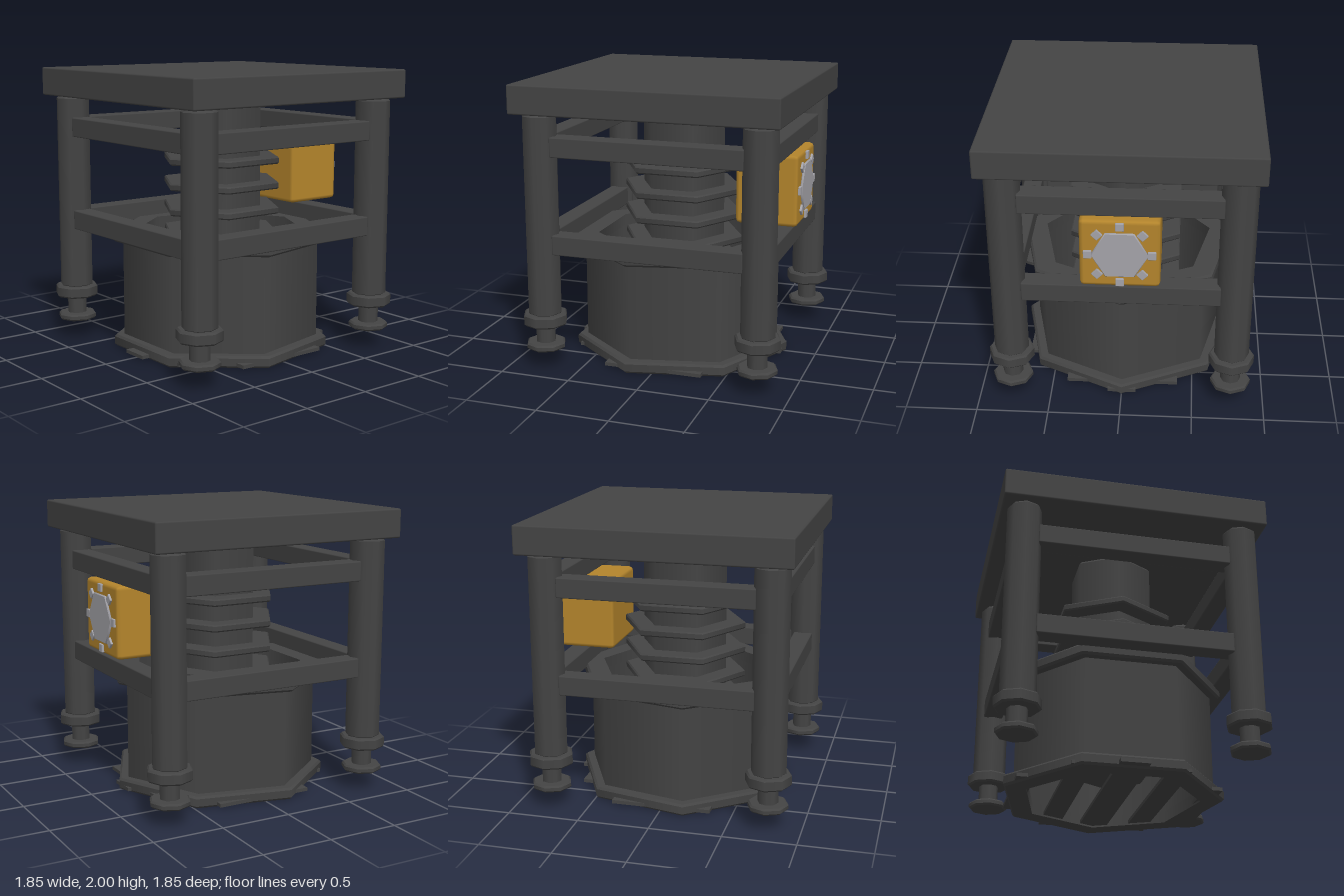
import * as THREE from 'three';
import { mergeGeometries } from 'three/addons/utils/BufferGeometryUtils.js';
import { RoundedBoxGeometry } from 'three/addons/geometries/RoundedBoxGeometry.js';

const material = (name, color) => {
  const m = new THREE.MeshStandardMaterial({ color });
  m.name = name;
  return m;
};

// Low-sided turned part: each profile edge is its own band, so profile corners stay sharp.
// Profile points are [radius, y], running from the bottom outwards and up.
function turned(profile, sides) {
  const bands = [];
  for (let i = 0; i < profile.length - 1; i++) {
    const pair = [profile[i], profile[i + 1]].map(p => new THREE.Vector2(p[0], p[1]));
    bands.push(new THREE.LatheGeometry(pair, sides, Math.PI / 2));
  }
  return mergeGeometries(bands);
}

// Solid prism with chamfered rims
const prism = (r, y0, y1, sides, b) => turned(
  [[0, y0], [r - b, y0], [r, y0 + b], [r, y1 - b], [r - b, y1], [0, y1]], sides);

// Hollow ring with chamfered outer rims
const ring = (r, inner, y0, y1, sides, b) => turned(
  [[inner, y0], [r - b, y0], [r, y0 + b], [r, y1 - b], [r - b, y1], [inner, y1], [inner, y0]], sides);

export function createModel() {
  const model = new THREE.Group();
  model.name = 'machine';
  const steel = material('dark steel', 0x444444);
  const ochre = material('ochre paint', 0xb4852c);
  const silver = material('light grey metal', 0xa5a4aa);

  const add = (name, geometry, mat, x = 0, y = 0, z = 0, parent = model) => {
    const mesh = new THREE.Mesh(geometry, mat);
    mesh.name = name;
    mesh.position.set(x, y, z);
    parent.add(mesh);
    return mesh;
  };
  const block = (w, h, d, bevel) => new RoundedBoxGeometry(w, h, d, 1, bevel);

  // Top slab
  add('topSlab', block(1.85, 0.2, 1.85, 0.012), steel, 0, 1.9, 0);

  // Four legs with collars and levelling feet
  const post = prism(0.12, 0.38, 1.8, 8, 0.02);
  const collar = prism(0.157, 0.31, 0.395, 8, 0.012);
  const stem = prism(0.07, 0.17, 0.32, 8, 0.002);
  const pad = prism(0.14, 0.135, 0.183, 8, 0.012);
  for (const x of [-0.765, 0.765]) {
    for (const z of [-0.765, 0.765]) {
      const leg = new THREE.Group();
      leg.name = 'leg';
      leg.position.set(x, 0, z);
      model.add(leg);
      add('post', post, steel, 0, 0, 0, leg);
      add('collar', collar, steel, 0, 0, 0, leg);
      add('footStem', stem, steel, 0, 0, 0, leg);
      add('footPad', pad, steel, 0, 0, 0, leg);
    }
  }

  // Two levels of rails between the legs
  const rail = block(1.34, 0.137, 0.14, 0.008);
  for (const y of [0.9, 1.577]) {
    for (let i = 0; i < 4; i++) {
      const a = i * Math.PI / 2;
      const mesh = add('rail', rail, steel, 0.765 * Math.sin(a), y, 0.765 * Math.cos(a));
      mesh.rotation.y = a;
    }
  }

  // Seven-sided open drum with its rims
  add('drumWall', ring(0.713, 0.64, 0.06, 0.82, 7, 0.002), steel);
  add('drumTopRim', ring(0.785, 0.62, 0.775, 0.855, 7, 0.015), steel);
  add('drumBaseRim', ring(0.785, 0.62, 0.005, 0.088, 7, 0.015), steel);

  // Grate slats across the drum base: [z, width, half length]
  const slats = [[0, 0.2, 0.765], [0.32, 0.15, 0.665], [-0.32, 0.15, 0.665],
    [0.64, 0.12, 0.35], [-0.64, 0.12, 0.35]];
  for (const [z, width, half] of slats) {
    add('grateSlat', new THREE.BoxGeometry(half * 2, 0.025, width), steel, 0, 0.03, z);
  }

  // Six-sided central column with cooling fins
  add('column', prism(0.305, 0.2, 1.8, 6, 0.02), steel);
  for (let i = 0; i < 5; i++) {
    const y = 0.645 + i * 0.179;
    add('columnFin', prism(0.446, y - 0.026, y + 0.026, 6, 0.01), steel);
  }

  // Control housing on the left side, with cover plate and bolts
  add('housing', block(0.435, 0.5, 0.53, 0.028), ochre, 0.6775, 1.26, 0);
  const cover = add('coverPlate', prism(0.19, 0, 0.018, 6, 0.006), silver, 0.893, 1.26, 0);
  cover.rotation.set(Math.PI / 2, 0, -Math.PI / 2, 'ZYX');
  cover.rotation.set(0, Math.PI / 2, -Math.PI / 2, 'ZYX');
  const bolt = block(0.02, 0.056, 0.056, 0.004);
  for (let i = 0; i < 8; i++) {
    const a = i * Math.PI / 4;
    const mesh = add('coverBolt', bolt, silver, 0.9, 1.26 + 0.21 * Math.sin(a), 0.21 * Math.cos(a));
    mesh.rotation.x = -a;
  }
  return model;
}
